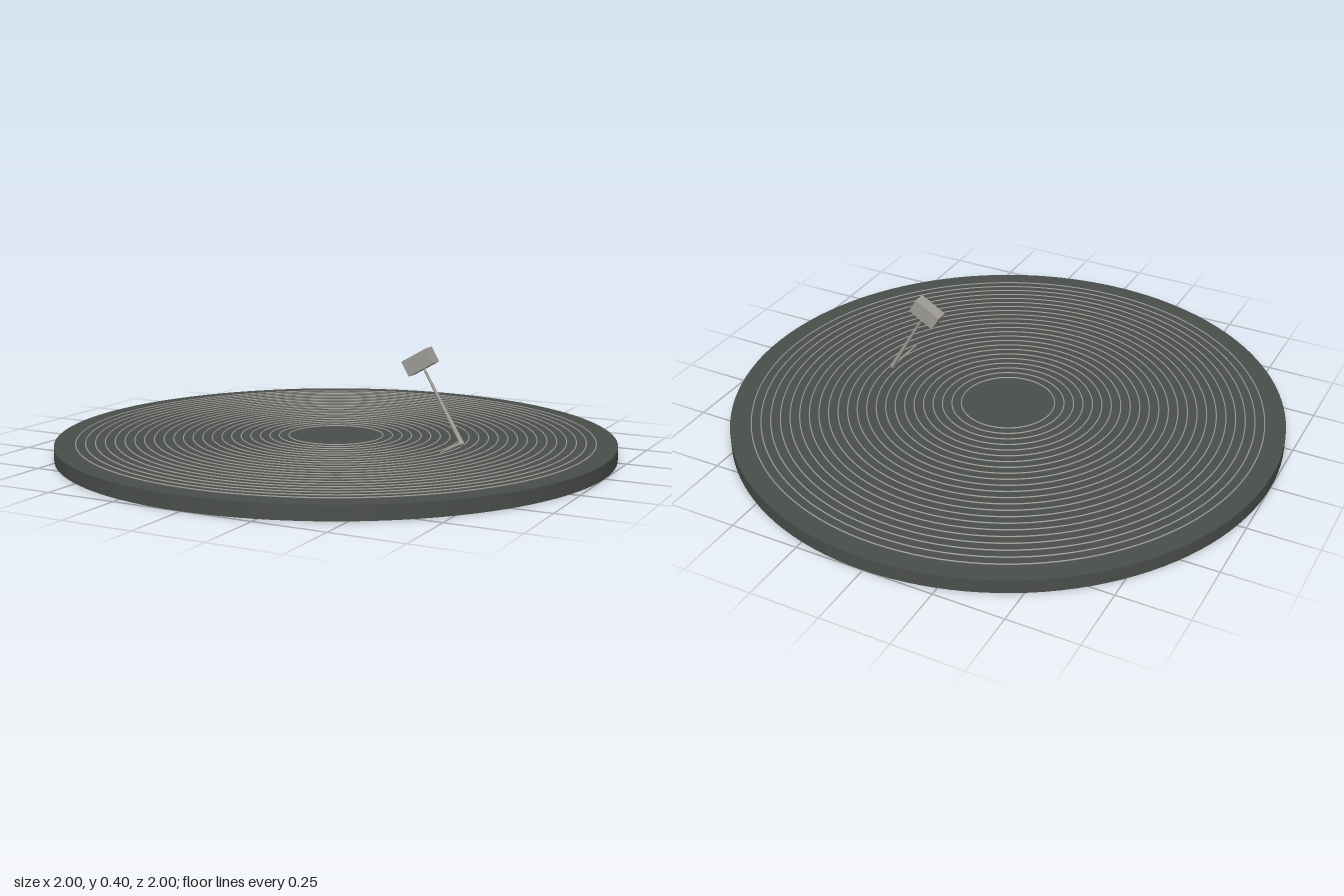
import * as THREE from 'three';

export function createModel() {
  const model = new THREE.Group();
  const discMat = new THREE.MeshStandardMaterial({ color: 0x4b4f4b });
  discMat.name = 'dark grey';
  const metalMat = new THREE.MeshStandardMaterial({ color: 0x9f9c99 });
  metalMat.name = 'light grey';

  const add = (name, geometry, material, x, y, z) => {
    const mesh = new THREE.Mesh(geometry, material);
    mesh.name = name;
    mesh.position.set(x, y, z);
    model.add(mesh);
    return mesh;
  };

  // tapered rod between two points
  const rod = (name, from, to, r0, r1) => {
    const dir = to.clone().sub(from);
    const mid = from.clone().add(to).multiplyScalar(0.5);
    const mesh = add(name, new THREE.CylinderGeometry(r1, r0, dir.length(), 12), metalMat, mid.x, mid.y, mid.z);
    mesh.quaternion.setFromUnitVectors(new THREE.Vector3(0, 1, 0), dir.normalize());
  };

  // flat round disc
  add('disc', new THREE.CylinderGeometry(1, 1, 0.05, 128), discMat, 0, 0.025, 0);

  // concentric raised ridges
  const ridges = 23;
  for (let i = 0; i < ridges; i++) {
    const radius = 0.17 + (0.925 - 0.17) * i / (ridges - 1);
    const ridge = add('ridge', new THREE.TorusGeometry(radius, 0.0025, 6, 128), metalMat, 0, 0.052, 0);
    ridge.rotation.x = Math.PI / 2;
  }

  // leaning arm with a block at its upper end
  const joint = new THREE.Vector3(0.49, 0.07, 0);
  rod('arm', joint, new THREE.Vector3(0.345, 0.32, 0), 0.009, 0.004);
  const block = add('armBlock', new THREE.BoxGeometry(0.108, 0.058, 0.048), metalMat, 0.33, 0.343, 0);
  block.rotation.z = Math.PI / 6;

  // joint and the thin needle lying towards the front
  add('joint', new THREE.SphereGeometry(0.011, 16, 12), metalMat, joint.x, joint.y, 0.004);
  rod('needle', joint, new THREE.Vector3(0.487, 0.07, 0.17), 0.006, 0.003);

  return model;
}
